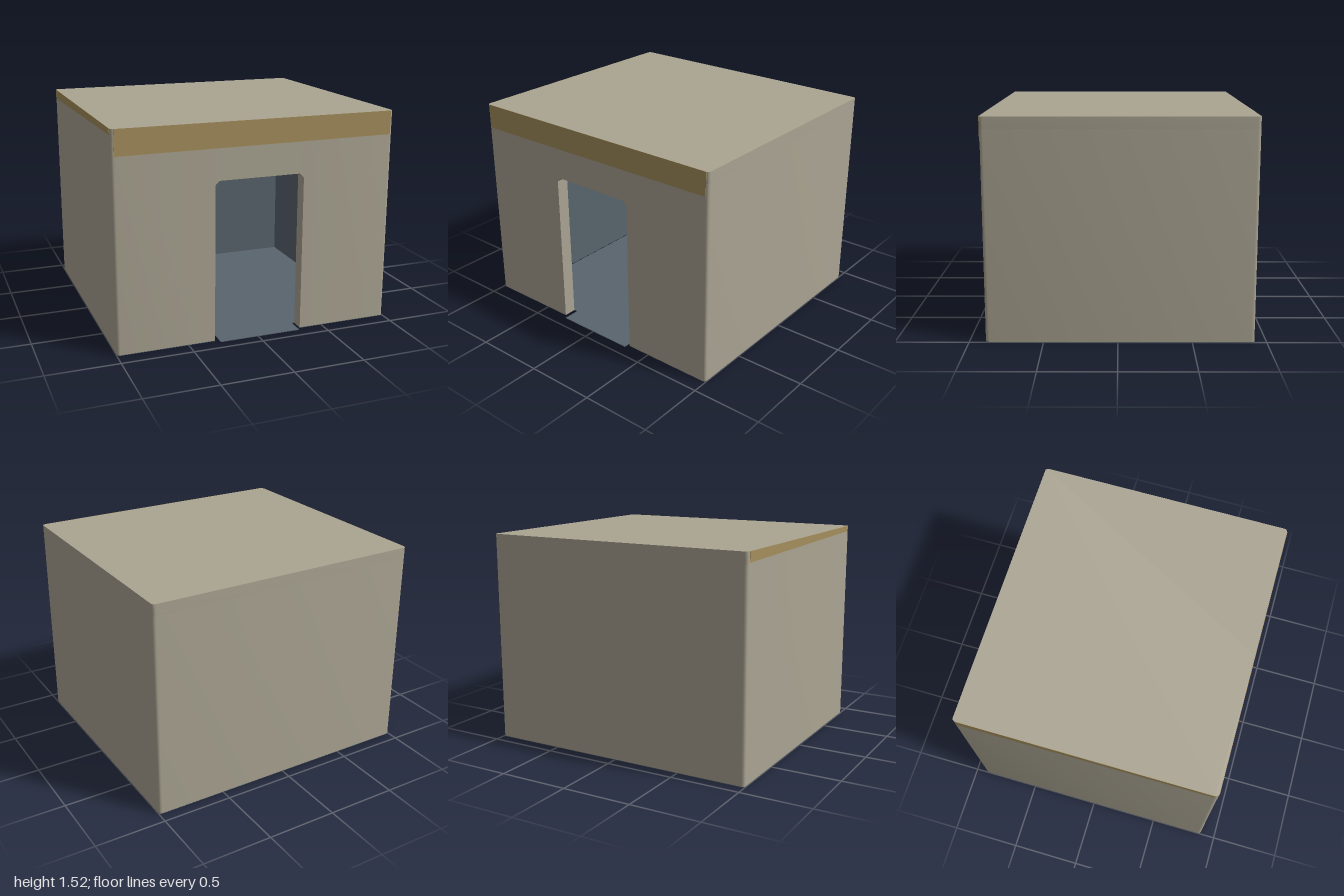
import * as THREE from 'three';
import { toCreasedNormals } from 'three/addons/utils/BufferGeometryUtils.js';

const mat = (color) => new THREE.MeshStandardMaterial({ color, roughness: 0.9 });
const X = 1, BACK = -0.92, FRONT = 0.89, TOP = 1.52, R = 0.025;
const DOOR = { l: -0.31, r: 0.33, top: 1.13, cut: 0.03 };
const CAVITY = { l: -0.84, r: 0.9, back: -0.81, front: 0.8 };
const BASE = 0.004, ROOF = 1.44;

export function createModel() {
  const group = new THREE.Group();
  const tan = mat(0xaaa492), gold = mat(0xa48e5c), slate = mat(0x59646d);

  const add = (name, geometry, material) => {
    const mesh = new THREE.Mesh(geometry, material);
    mesh.name = name;
    group.add(mesh);
    return mesh;
  };
  const poly = (points) => new THREE.Shape(points.map(([x, y]) => new THREE.Vector2(x, y)));
  const extrude = (shape, depth) => toCreasedNormals(
    new THREE.ExtrudeGeometry(shape, { depth, bevelEnabled: false, curveSegments: 4 }), 0.6);
  // Floor plan (x, -z) raised from y0 to y1
  const plan = (shape, y0, y1) => extrude(shape, y1 - y0).rotateX(-Math.PI / 2).translate(0, y0, 0);

  // Rounded outer outline, started and ended on the front edge
  const outer = (shape) => {
    shape.lineTo(X - R, -FRONT);
    shape.quadraticCurveTo(X, -FRONT, X, -FRONT + R);
    shape.lineTo(X, -BACK - R);
    shape.quadraticCurveTo(X, -BACK, X - R, -BACK);
    shape.lineTo(-X + R, -BACK);
    shape.quadraticCurveTo(-X, -BACK, -X, -BACK - R);
    shape.lineTo(-X, -FRONT + R);
    shape.quadraticCurveTo(-X, -FRONT, -X + R, -FRONT);
  };

  // Walls: a ring left open at the doorway, on a dark foot
  const ring = new THREE.Shape();
  ring.moveTo(DOOR.r, -FRONT);
  outer(ring);
  const c = CAVITY;
  [[DOOR.l, -FRONT], [DOOR.l, -c.front], [c.l, -c.front], [c.l, -c.back],
    [c.r, -c.back], [c.r, -c.front], [DOOR.r, -c.front]].forEach(([x, y]) => ring.lineTo(x, y));
  add('wallFoot', plan(ring, 0, BASE), slate);
  add('walls', plan(ring, BASE, ROOF), tan);

  // Lintel with clipped corners above the doorway
  const { l, r, top, cut } = DOOR;
  const lintel = poly([[l, top - cut], [l + cut, top], [r - cut, top], [r, top - cut], [r, ROOF], [l, ROOF]]);
  add('doorLintel', extrude(lintel, FRONT - c.front).translate(0, 0, c.front), tan);

  // Roof slab
  const roof = new THREE.Shape();
  roof.moveTo(0, -FRONT);
  outer(roof);
  add('roof', plan(roof, ROOF, TOP), tan);

  // Painted bands along the front and the right wall
  const frontBand = poly([[-0.98, 1.345], [0.98, 1.355], [0.98, TOP], [-0.98, TOP]]);
  add('frontBand', extrude(frontBand, 0.004).translate(0, 0, FRONT - 0.001), gold);
  const sideBand = poly([[BACK + R, 1.45], [FRONT - R, 1.48], [FRONT - R, TOP], [BACK + R, TOP]]);
  add('sideBand', extrude(sideBand, 0.003).rotateY(-Math.PI / 2).translate(-X + 0.001, 0, 0), gold);

  // Dark lining of the room
  const lining = (name, x0, x1, y0, y1, z0, z1) => add(name,
    new THREE.BoxGeometry(x1 - x0, y1 - y0, z1 - z0)
      .translate((x0 + x1) / 2, (y0 + y1) / 2, (z0 + z1) / 2), slate);
  const t = 0.004;
  lining('rightLining', c.l, c.l + t, 0, ROOF, c.back, c.front);
  lining('leftLining', c.r - t, c.r, 0, ROOF, c.back, c.front);
  lining('backLining', c.l, c.r, 0, ROOF, c.back, c.back + t);
  lining('ceilingLining', c.l, c.r, ROOF - t, ROOF, c.back, c.front);

  // Thin floor with a sill running out through the doorway
  const floor = poly([[-0.825, -c.back], [-0.825, -c.front], [-0.28, -c.front], [-0.28, -0.92],
    [0.31, -0.92], [0.31, -c.front], [c.r, -c.front], [c.r, -c.back]]);
  add('floor', plan(floor, 0, 0.005), slate);

  return group;
}
